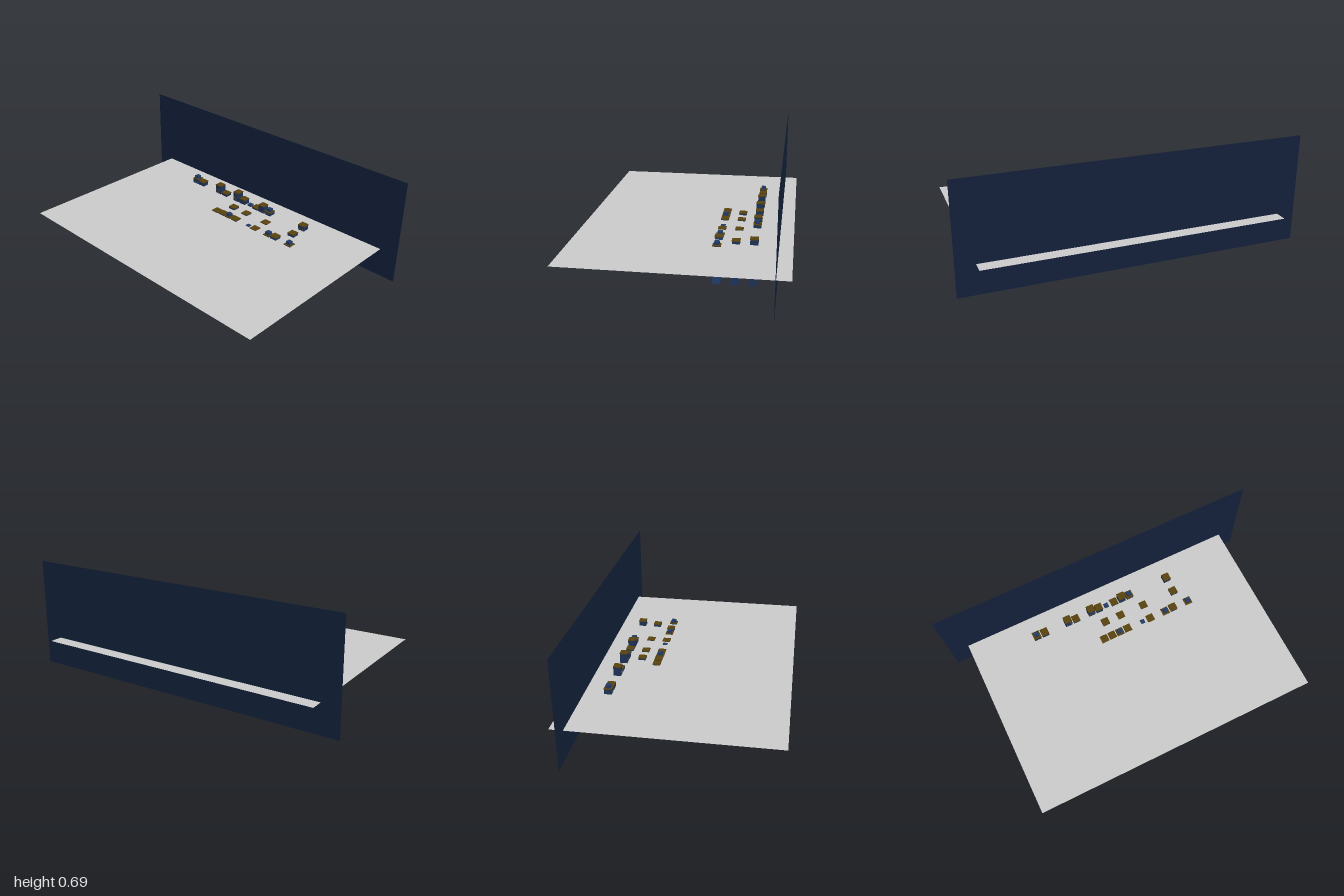
import * as THREE from 'three';
import { mergeGeometries } from 'three/addons/utils/BufferGeometryUtils.js';

const mat = (color, side = THREE.FrontSide) => new THREE.MeshStandardMaterial({ color, side });

// Seeded generator for the lit windows
let seed = 7;
const rand = () => {
  seed = (seed * 16807) % 2147483647;
  return seed / 2147483647;
};

const COLS = 19, PITCH = 0.96 / 18, WIDTH = 0.044;

// Roof heights in hundredths per row, and which columns carry a rooftop block
const ROWS = [
  { name: 'backRow', z: -0.4, color: 0x1e3358, blocks: [0, 9, 12],
    roofs: [25.5, 25, 19, 18.5, 28, 24, 20, 28.5, 25.5, 21.5, 23.5, 27, 24.5, 20, 19.5, 18, 20.5, 25.5, 20] },
  { name: 'middleRow', z: -0.3, color: 0x1f365e, blocks: [],
    roofs: [20, 18, 20.5, 16, 19, 20, 18.5, 20, 23.5, 19, 23, 18, 20, 22.8, 17, 20, 19, 24, 18] },
  { name: 'frontRow', z: -0.2, color: 0x233f6c, blocks: [9, 12, 15, 18],
    roofs: [18.5, 20, 17.5, 20, 18, 20.5, 20.5, 22.8, 23, 22.8, 23, 19, 20.5, 22.7, 20, 22.7, 24, 20, 22.8] },
];

function box(w, h, d, x, y, z) {
  return new THREE.BoxGeometry(w, h, d).translate(x, y, z);
}

function buildRow({ name, z, color, blocks, roofs }) {
  const bodies = [], ledges = [], caps = [], windows = [];
  for (let i = 0; i < COLS; i++) {
    const x = -0.48 + i * PITCH, h = roofs[i] / 100;
    bodies.push(box(WIDTH, h - 0.004, WIDTH, x, (h - 0.004) / 2, z));
    ledges.push(box(0.047, 0.005, 0.047, x, h - 0.0025, z));
    if (blocks.includes(i)) caps.push(box(0.028, 0.018, 0.028, x, h + 0.009, z));
    // lit windows on the street side
    for (let y = 0.02; y < h - 0.012; y += 0.014) {
      for (let c = -1; c <= 1; c++) {
        if (rand() > 0.45) continue;
        windows.push(new THREE.PlaneGeometry(0.006, 0.006)
          .translate(x + c * 0.013, y, z + WIDTH / 2 + 0.0008));
      }
    }
  }
  const row = new THREE.Group();
  row.name = name;
  const add = (label, list, colour) => {
    if (!list.length) return;
    const mesh = new THREE.Mesh(mergeGeometries(list), mat(colour));
    mesh.name = label;
    row.add(mesh);
  };
  add('towerBodies', bodies, color);
  add('roofLedges', ledges, 0x59430f);
  add('rooftopBlocks', caps, 0x223b66);
  add('litWindows', windows, 0x9a8340);
  return row;
}

export function createModel() {
  const model = new THREE.Group();
  model.name = 'citySkyline';

  // Night sky behind the towers
  const sky = new THREE.Mesh(new THREE.PlaneGeometry(2, 0.645), mat(0x13203a, THREE.DoubleSide));
  sky.name = 'skyBackdrop';
  sky.position.set(0, 0.3675, -0.535);
  model.add(sky);

  // Level sheet that the towers pass through
  const sheet = new THREE.Mesh(
    new THREE.PlaneGeometry(1.78, 1.225).rotateX(-Math.PI / 2),
    mat(0xcccccc, THREE.DoubleSide));
  sheet.name = 'levelSheet';
  sheet.position.y = 0.221;
  model.add(sheet);

  // Three rows of towers
  ROWS.forEach((row) => model.add(buildRow(row)));

  // Slim boom reaching forward from a front roof
  const boom = new THREE.Mesh(new THREE.BoxGeometry(0.008, 0.008, 0.145), mat(0x20242c));
  boom.name = 'roofBoom';
  boom.position.set(0.267, 0.214, -0.158);
  model.add(boom);
  const mast = new THREE.Mesh(new THREE.BoxGeometry(0.008, 0.014, 0.008), mat(0x20242c));
  mast.name = 'boomMast';
  mast.position.set(0.267, 0.206, -0.2);
  model.add(mast);

  return model;
}
